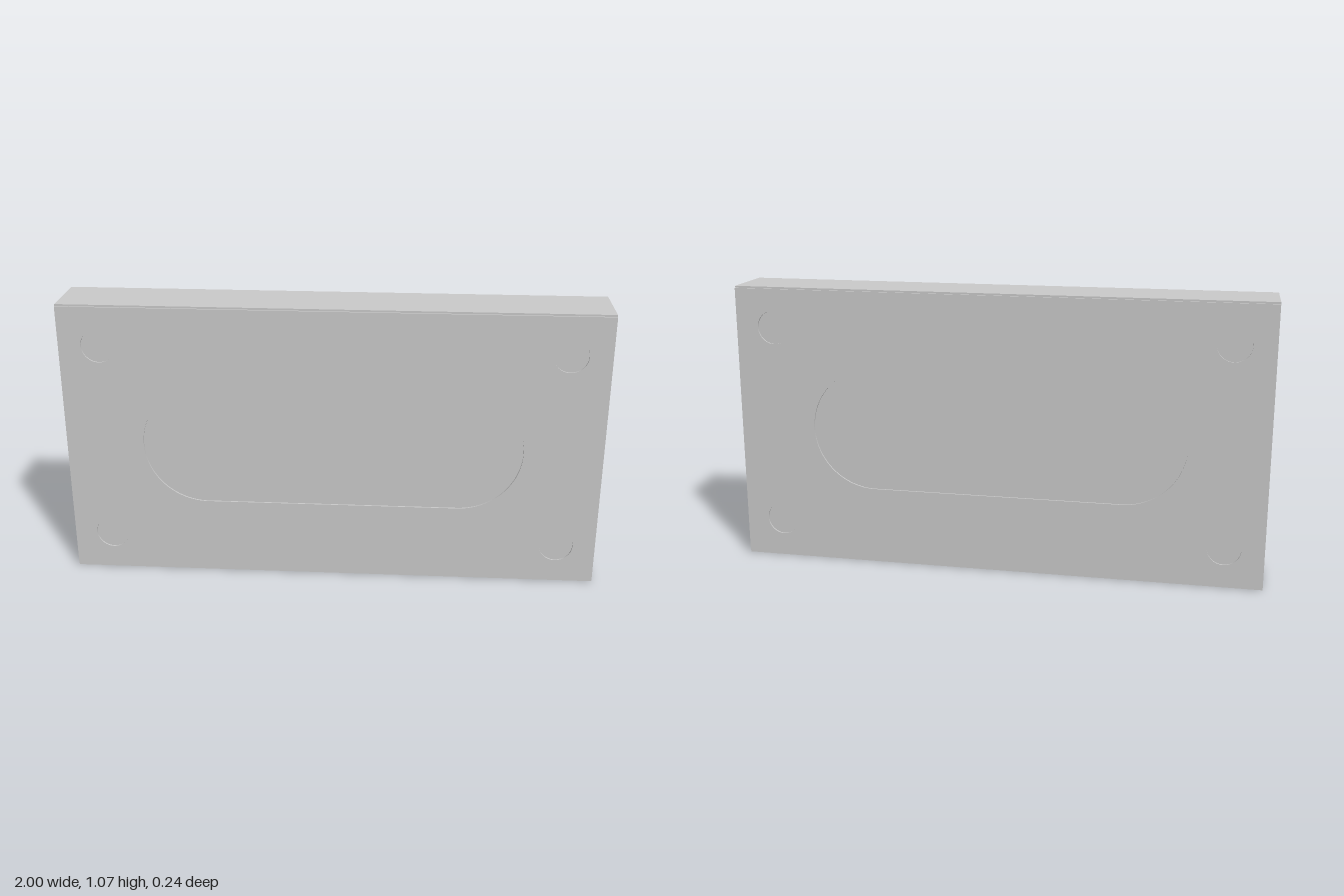
import * as THREE from 'three';

const WIDTH = 2, HEIGHT = 1.067, DEPTH = 0.24;
const SKIN = 0.006;   // thickness of each face plate
const INSET = 0.007;  // step along the top and bottom edges

// Face plate outline with a long rounded slot and four corner holes
function faceShape() {
  const w = WIDTH / 2, h = HEIGHT / 2 - INSET;
  const shape = new THREE.Shape();
  shape.moveTo(-w, -h).lineTo(w, -h).lineTo(w, h).lineTo(-w, h).closePath();

  const slot = new THREE.Path();
  const r = 0.235, c = 0.473;
  slot.absarc(c, 0, r, -Math.PI / 2, Math.PI / 2, false);
  slot.absarc(-c, 0, r, Math.PI / 2, Math.PI * 1.5, false);
  slot.closePath();
  shape.holes.push(slot);

  for (const sx of [-1, 1]) {
    for (const sy of [-1, 1]) {
      const hole = new THREE.Path();
      hole.absarc(sx * 0.853, sy * 0.38, 0.063, 0, Math.PI * 2, false);
      shape.holes.push(hole);
    }
  }
  return shape;
}

export function createModel() {
  const group = new THREE.Group();
  group.name = 'recessedPlate';
  const material = new THREE.MeshStandardMaterial({ color: 0xcccccc });

  // Solid block forming the floor of every recess
  const coreDepth = DEPTH - 2 * SKIN;
  const core = new THREE.Mesh(new THREE.BoxGeometry(WIDTH, HEIGHT, coreDepth), material);
  core.name = 'coreBlock';
  core.position.y = HEIGHT / 2;
  group.add(core);

  // Thin pierced plates on the front and back
  const plate = new THREE.ExtrudeGeometry(faceShape(), {
    depth: SKIN, bevelEnabled: false, curveSegments: 32,
  });
  for (const [name, turn] of [['frontPlate', 0], ['backPlate', Math.PI]]) {
    const mesh = new THREE.Mesh(plate, material);
    mesh.name = name;
    mesh.rotation.y = turn;
    mesh.position.set(0, HEIGHT / 2, Math.cos(turn) * coreDepth / 2);
    group.add(mesh);
  }
  return group;
}
